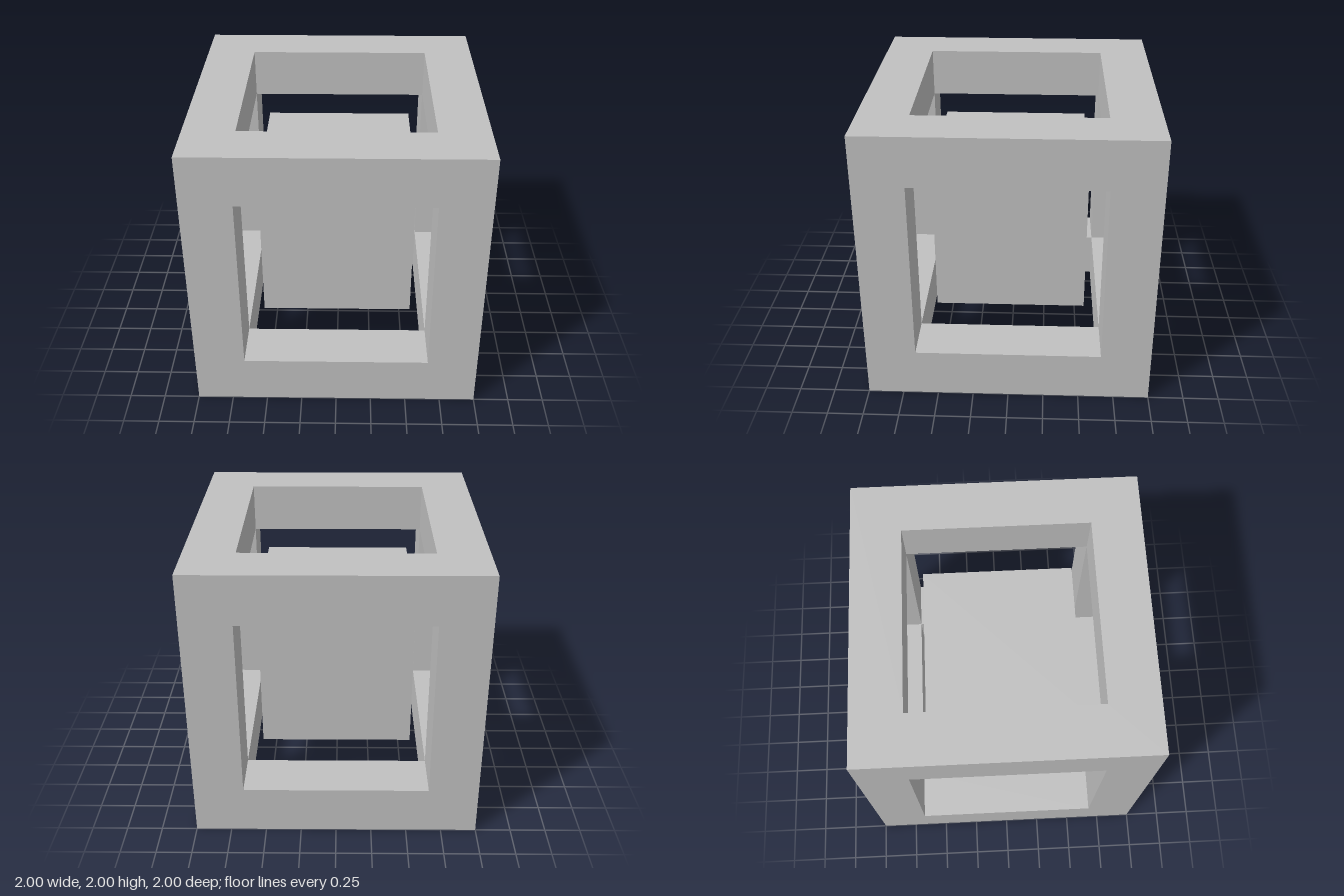
import * as THREE from 'three';
import { mergeGeometries } from 'three/addons/utils/BufferGeometryUtils.js';

const HALF = 1;       // half the outer edge
const HOLE = 0.65;    // half the window opening
const CORE = 1.08;    // edge of the inner cube

function square(PathType, h) {
  const p = new PathType();
  p.moveTo(-h, -h);
  p.lineTo(h, -h);
  p.lineTo(h, h);
  p.lineTo(-h, h);
  p.closePath();
  return p;
}

// One side of the frame, facing +z: a windowed face and the four walls of its opening
function sideGeometry() {
  const outline = square(THREE.Shape, HALF);
  outline.holes.push(square(THREE.Path, HOLE));
  const parts = [new THREE.ShapeGeometry(outline).translate(0, 0, HALF)];
  const depth = HALF - HOLE;
  for (let i = 0; i < 4; i++) {
    parts.push(new THREE.PlaneGeometry(depth, 2 * HOLE)
      .rotateY(-Math.PI / 2)
      .translate(HOLE, 0, HOLE + depth / 2)
      .rotateZ(i * Math.PI / 2));
  }
  return mergeGeometries(parts);
}

export function createModel() {
  const group = new THREE.Group();
  group.name = 'cubeInFrame';
  const grey = new THREE.MeshStandardMaterial({ color: 0xc0c0c0 });
  grey.name = 'lightGrey';

  // Open frame: six identical sides that close into square bars
  const sides = [];
  for (let i = 0; i < 4; i++) sides.push(sideGeometry().rotateY(i * Math.PI / 2));
  for (const s of [-1, 1]) sides.push(sideGeometry().rotateX(s * Math.PI / 2));
  const frame = new THREE.Mesh(mergeGeometries(sides), grey);
  frame.name = 'frame';

  // Solid cube floating in the middle
  const core = new THREE.Mesh(new THREE.BoxGeometry(CORE, CORE, CORE), grey);
  core.name = 'innerCube';

  for (const mesh of [frame, core]) {
    mesh.position.y = HALF;
    group.add(mesh);
  }
  return group;
}
